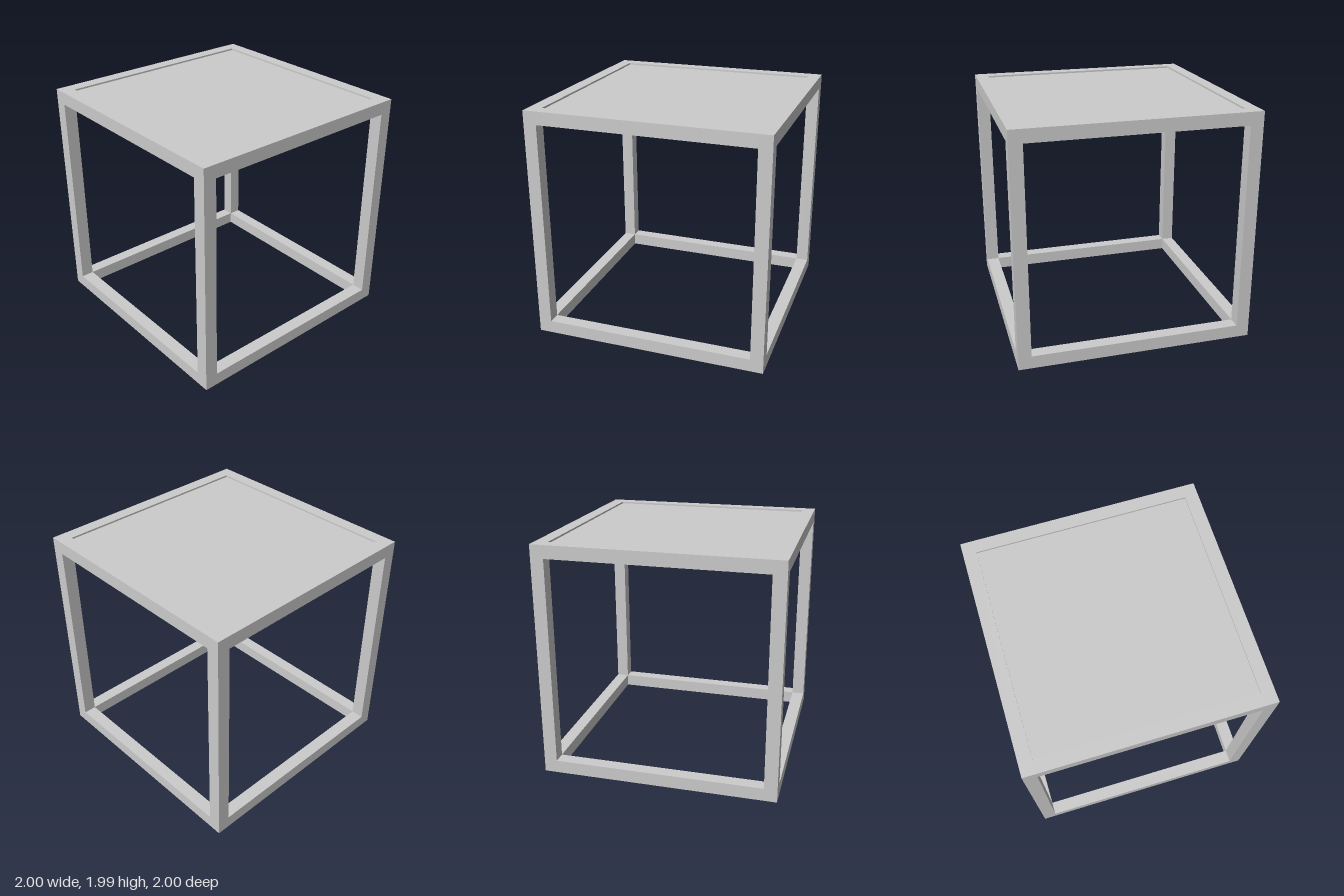
import * as THREE from 'three';

const SIZE = 2, HEIGHT = 1.99, BAR = 0.11;

export function createModel() {
  const model = new THREE.Group();
  const material = new THREE.MeshStandardMaterial({ color: 0xcccccc });

  const addBox = (name, [w, h, d], [x, y, z]) => {
    const mesh = new THREE.Mesh(new THREE.BoxGeometry(w, h, d), material);
    mesh.name = name;
    mesh.position.set(x, y, z);
    model.add(mesh);
  };

  const inner = SIZE - 2 * BAR;
  const offset = (SIZE - BAR) / 2;

  // Full-height corner legs
  for (const x of [-1, 1]) for (const z of [-1, 1]) {
    addBox(`${z > 0 ? 'front' : 'back'}${x > 0 ? 'Left' : 'Right'}Leg`,
      [BAR, HEIGHT, BAR], [x * offset, HEIGHT / 2, z * offset]);
  }

  // Rails between the legs, forming the bottom and top frames
  for (const [level, y] of [['bottom', BAR / 2], ['top', HEIGHT - BAR / 2]]) {
    for (const s of [-1, 1]) {
      addBox(`${level}${s > 0 ? 'Front' : 'Back'}Rail`, [inner, BAR, BAR], [0, y, s * offset]);
      addBox(`${level}${s > 0 ? 'Left' : 'Right'}Rail`, [BAR, BAR, inner], [s * offset, y, 0]);
    }
  }

  // Thin table top, set slightly below the rim of the top frame
  addBox('tableTop', [inner, 0.012, inner], [0, HEIGHT - 0.021, 0]);

  return model;
}
